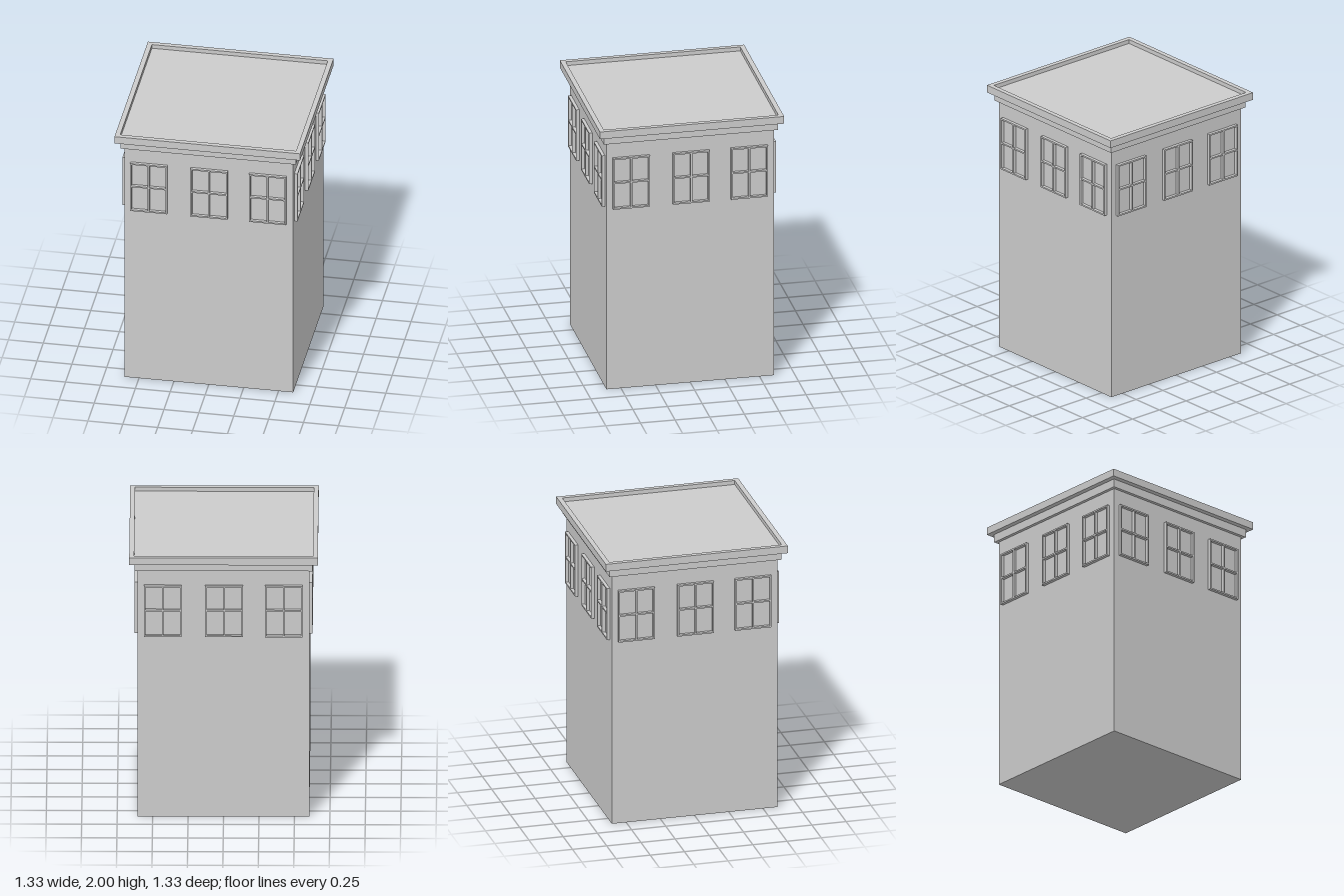
import * as THREE from 'three';

const material = new THREE.MeshStandardMaterial({ color: 0xcccccc, flatShading: true });

function part(name, geometry, y = 0) {
  const mesh = new THREE.Mesh(geometry, material);
  mesh.name = name;
  mesh.position.y = y;
  return mesh;
}

function box(name, width, y0, y1) {
  return part(name, new THREE.BoxGeometry(width, y1 - y0, width), (y0 + y1) / 2);
}

// Corners of a rectangle as a closed outline
function rect(x0, y0, x1, y1, Type = THREE.Path) {
  return new Type([[x0, y0], [x1, y0], [x1, y1], [x0, y1]].map(p => new THREE.Vector2(...p)));
}

// Window frame with a cross of glazing bars, standing out from the wall
function windowGeometry() {
  const w = 0.133, h = 0.195, edge = 0.011, bar = 0.0055, crossY = 0.006;
  const shape = rect(-w, -h, w, h, THREE.Shape);
  for (const [x0, x1] of [[-w + edge, -bar], [bar, w - edge]]) {
    for (const [y0, y1] of [[-h + edge, crossY - bar], [crossY + bar, h - edge]]) {
      shape.holes.push(rect(x0, y0, x1, y1));
    }
  }
  return new THREE.ExtrudeGeometry(shape, { depth: 0.023, bevelEnabled: false });
}

export function createModel() {
  const model = new THREE.Group();
  model.name = 'tower';

  // Shaft and lower cornice
  model.add(box('shaft', 1.21, 0, 1.89));
  model.add(box('lowerCornice', 1.256, 1.885, 1.945));

  // Sunken roof deck inside a raised parapet
  model.add(box('roofDeck', 1.262, 1.945, 1.97));
  const ring = rect(-0.665, -0.665, 0.665, 0.665, THREE.Shape);
  ring.holes.push(rect(-0.63, -0.63, 0.63, 0.63));
  const parapet = new THREE.ExtrudeGeometry(ring, { depth: 0.055, bevelEnabled: false });
  parapet.rotateX(-Math.PI / 2);
  model.add(part('parapet', parapet, 1.945));

  // Three windows on each of the four walls
  const frame = windowGeometry();
  ['front', 'left', 'back', 'right'].forEach((side, i) => {
    const wall = new THREE.Group();
    wall.name = side + 'Windows';
    wall.rotation.y = i * Math.PI / 2;
    for (const x of [-0.428, 0.004, 0.424]) {
      const mesh = part('windowFrame', frame, 1.575);
      mesh.position.x = x;
      mesh.position.z = 0.605;
      wall.add(mesh);
    }
    model.add(wall);
  });

  return model;
}
